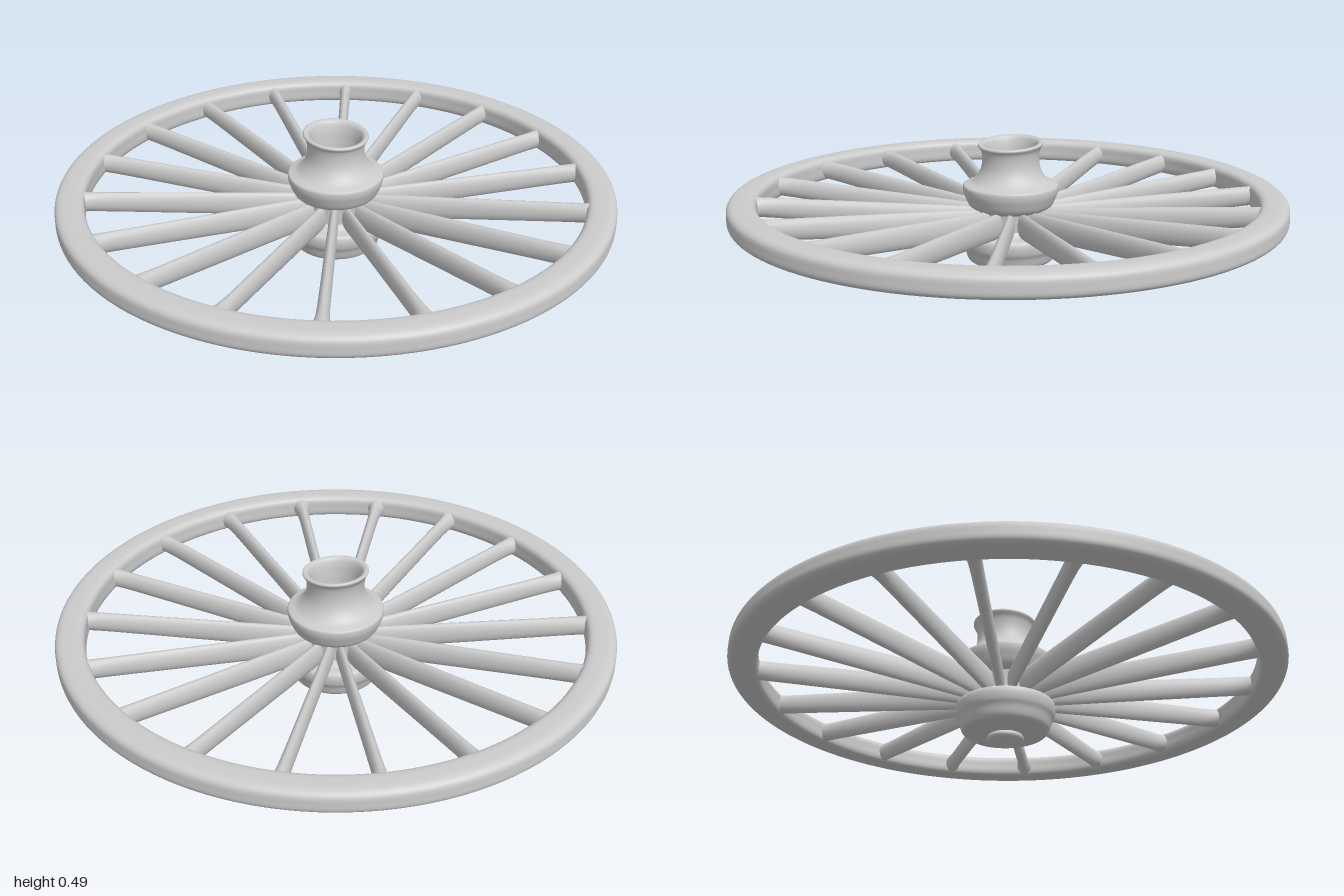
import * as THREE from 'three';

const material = new THREE.MeshStandardMaterial({ color: 0xcccccc, side: THREE.DoubleSide });
const SPOKES = 18;

// Smooth closed profile curve through [radius, y] points, revolved about y
function turned(name, points, segments, closed = false) {
  const curve = new THREE.CatmullRomCurve3(
    points.map(([r, y]) => new THREE.Vector3(r, y, 0)), closed, 'centripetal');
  const profile = curve.getPoints(points.length * 5)
    .map(p => new THREE.Vector2(Math.max(p.x, 0), p.y));
  const mesh = new THREE.Mesh(new THREE.LatheGeometry(profile, segments), material);
  mesh.name = name;
  return mesh;
}

// Dished spoke: an oval bar running from the hub out and up into the rim
function spokeGeometry() {
  const inner = 0.1, outer = 0.925;
  const g = new THREE.CylinderGeometry(1, 1, 1, 16, 24);
  const p = g.attributes.position;
  for (let i = 0; i < p.count; i++) {
    const t = p.getY(i) + 0.5;
    const flare = Math.pow(t, 24);
    const halfWidth = 0.017 + 0.004 * t + 0.018 * flare;
    const halfHeight = 0.047 - 0.011 * t;
    const mid = 0.195 + 0.067 * t;
    const side = p.getX(i), up = p.getZ(i);
    p.setXYZ(i, inner + (outer - inner) * t, mid - up * halfHeight, side * halfWidth);
  }
  // the remap above mirrors nothing: radial = x, height = y, width = z
  g.computeVertexNormals();
  return g;
}

export function createModel() {
  const wheel = new THREE.Group();
  wheel.name = 'wagonWheel';

  // Rim with softened edges
  wheel.add(turned('rim', [
    [0.905, 0.221], [0.95, 0.219], [0.985, 0.224], [0.998, 0.236], [1.0, 0.262], [0.997, 0.288],
    [0.982, 0.301], [0.945, 0.305], [0.91, 0.302], [0.898, 0.29], [0.896, 0.262], [0.897, 0.233],
  ], 128, true));

  // Spokes
  const spokes = new THREE.Group();
  spokes.name = 'spokes';
  const geometry = spokeGeometry();
  for (let i = 0; i < SPOKES; i++) {
    const spoke = new THREE.Mesh(geometry, material);
    spoke.name = 'spoke';
    spoke.rotation.y = Math.PI / 2 + (i / SPOKES) * Math.PI * 2;
    spokes.add(spoke);
  }
  spokes.position.set(-0.012, 0, -0.012);
  wheel.add(spokes);

  const hub = new THREE.Group();
  hub.name = 'hub';
  hub.position.set(-0.007, 0, -0.007);
  wheel.add(hub);

  // Lower hub drum
  hub.add(turned('hubDrum', [
    [0, 0.04], [0.08, 0.04], [0.14, 0.041], [0.155, 0.05], [0.168, 0.085], [0.178, 0.105],
    [0.181, 0.135], [0.174, 0.15], [0.14, 0.158], [0.125, 0.175],
  ], 64));

  // Core where the spokes are seated
  hub.add(turned('hubCore', [[0.125, 0.15], [0.125, 0.2], [0.13, 0.25], [0.15, 0.28]], 48));

  // Flange, flared neck and open socket
  const neck = turned('hubNeck', [
    [0.125, 0.235], [0.15, 0.25], [0.165, 0.28], [0.173, 0.305], [0.172, 0.325], [0.158, 0.331],
    [0.142, 0.338], [0.122, 0.358], [0.108, 0.385], [0.103, 0.42], [0.108, 0.455], [0.118, 0.473],
    [0.114, 0.479], [0.1, 0.475], [0.09, 0.45], [0.084, 0.4], [0.08, 0.365], [0.065, 0.355],
    [0.035, 0.353], [0.028, 0.345], [0.025, 0.31], [0, 0.308],
  ], 64);
  // Lip leans slightly to one side
  const p = neck.geometry.attributes.position;
  for (let i = 0; i < p.count; i++) {
    const lift = THREE.MathUtils.smoothstep(p.getY(i), 0.42, 0.475);
    p.setY(i, p.getY(i) - lift * p.getX(i) * 0.08);
  }
  hub.add(neck);

  // Axle cap below the drum
  hub.add(turned('axleCap', [
    [0, 0.004], [0.025, 0.002], [0.032, 0.0], [0.045, 0.004], [0.062, 0.01], [0.067, 0.02],
    [0.062, 0.03], [0.045, 0.034], [0.036, 0.038], [0.036, 0.05],
  ], 40));

  return wheel;
}
